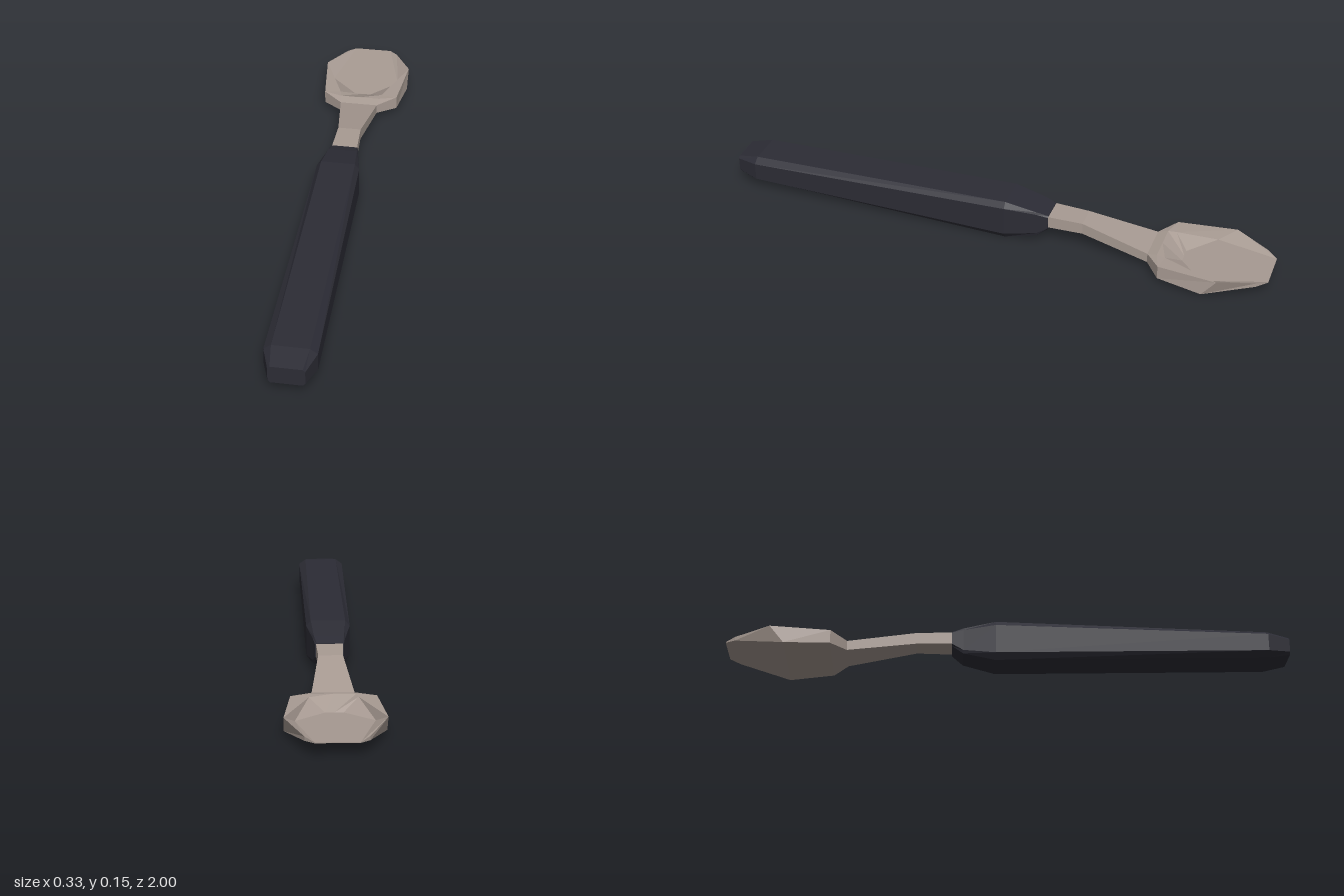
import * as THREE from 'three';

// Flat-sided mesh from convex polygons, each a fan of [x, y, z] corners
function facetMesh(name, polygons, material) {
  const pos = [];
  for (const p of polygons) {
    for (let i = 1; i < p.length - 1; i++) pos.push(...p[0], ...p[i], ...p[i + 1]);
  }
  const geo = new THREE.BufferGeometry();
  geo.setAttribute('position', new THREE.Float32BufferAttribute(pos, 3));
  geo.computeVertexNormals();
  const mesh = new THREE.Mesh(geo, material);
  mesh.name = name;
  return mesh;
}

// Skin a row of rings running from +z to -z, closing both ends
function loft(rings) {
  const faces = [rings[0], [...rings[rings.length - 1]].reverse()];
  for (let k = 0; k < rings.length - 1; k++) {
    const a = rings[k], b = rings[k + 1];
    a.forEach((_, i) => {
      const j = (i + 1) % a.length;
      faces.push([a[i], b[i], b[j], a[j]]);
    });
  }
  return faces;
}

// Eight-sided ring: half width w, flat half width f, side from s0 to s1, y from y0 to y1
const octagon = ([z, w, f, y0, s0, s1, y1]) => [
  [f, y0, z], [w, s0, z], [w, s1, z], [f, y1, z],
  [-f, y1, z], [-w, s1, z], [-w, s0, z], [-f, y0, z],
];
const rectangle = ([z, w, y0, y1]) => [[w, y0, z], [w, y1, z], [-w, y1, z], [-w, y0, z]];

const mirror = (face) => face.map(([x, y, z]) => [-x, y, z]).reverse();
const mid = ([, y, z]) => [0, y, z];

function bowlFaces() {
  // Upper outline, from neck to tip
  const a = [0.07, 0.063, -0.575], b = [0.14, 0.071, -0.63], c = [0.163, 0.073, -0.84];
  const d = [0.1, 0.057, -0.965], e = [0.07, 0.051, -1];
  // Lower outline
  const A = [0.07, 0.028, -0.575], B = [0.14, 0.022, -0.63], C = [0.163, 0.011, -0.79];
  const D = [0.1, 0.043, -0.965], E = [0.07, 0.048, -1];
  // Ridge and hollow
  const i = [0.075, 0.071, -0.61], f = [0.08, 0.07, -0.64];
  const g = [0.03, 0.035, -0.69], h = [0.127, 0.04, -0.78];
  const half = [
    [mid(a), a, i, mid(i)], [a, b, i], [i, b, f], [f, b, c],   // shoulder and rim
    [mid(i), i, f, g, mid(g)], [g, f, h], [f, c, h],           // hollow walls
    [h, c, d, e], [mid(e), mid(g), g, h, e],                   // hollow floor
    [A, B, b, a], [B, C, c, b], [C, D, d, c], [D, E, e, d],    // outer sides
    [mid(E), mid(e), e, E],                                    // tip
    [mid(A), mid(B), B, A], [mid(B), mid(C), C, B],            // underside
    [mid(C), mid(E), E, D, C],
  ];
  return [...half, ...half.map(mirror)];
}

export function createModel() {
  const grip = new THREE.MeshStandardMaterial({ color: 0x2c2c35 });
  grip.name = 'dark grip';
  const metal = new THREE.MeshStandardMaterial({ color: 0xa89b93 });
  metal.name = 'warm metal';

  const model = new THREE.Group();
  model.name = 'spoon';

  // Chamfered handle, thickest near the neck
  model.add(facetMesh('handle', loft([
    [1, 0.06, 0.052, 0.045, 0.054, 0.102, 0.11],
    [0.92, 0.087, 0.062, 0.028, 0.046, 0.11, 0.128],
    [-0.05, 0.077, 0.061, 0.002, 0.025, 0.132, 0.152],
    [-0.165, 0.056, 0.052, 0.03, 0.042, 0.12, 0.128],
    [-0.205, 0.05, 0.044, 0.062, 0.068, 0.112, 0.117],
  ].map(octagon)), grip));

  // Bent neck
  model.add(facetMesh('neck', loft([
    [-0.19, 0.047, 0.07, 0.114],
    [-0.33, 0.042, 0.07, 0.112],
    [-0.575, 0.07, 0.028, 0.063],
  ].map(rectangle)), metal));

  // Faceted bowl
  model.add(facetMesh('bowl', bowlFaces(), metal));
  return model;
}
